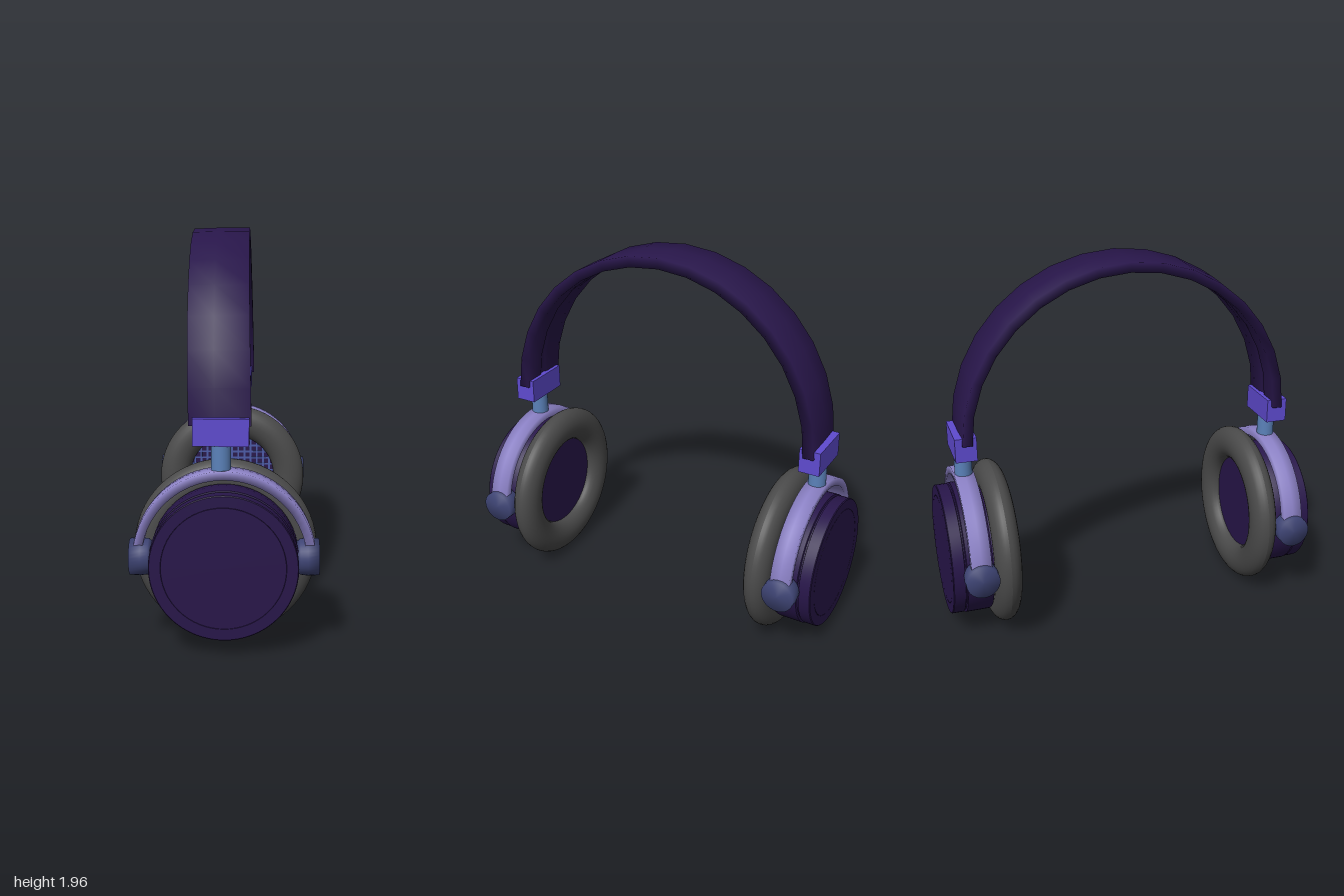
import * as THREE from 'three';
import { toCreasedNormals } from 'three/addons/utils/BufferGeometryUtils.js';

const material = (color) => new THREE.MeshStandardMaterial({ color });
const shell = material(0x28164a);
const foam = material(0x4a4a4a);
const lavender = material(0x8a80c4);
const violet = material(0x5f4bd0);
const steel = material(0x5b82ba);
const slate = material(0x3e4474);
const meshBlue = material(0x4c5ca8);

function add(parent, name, geometry, mat, x = 0, y = 0, z = 0) {
  const mesh = new THREE.Mesh(geometry, mat);
  mesh.name = name;
  mesh.position.set(x, y, z);
  parent.add(mesh);
  return mesh;
}

// Lathe about the z axis; profile pairs are [radius, z], running towards +z on the outside
function turned(profile, segments = 64, start = 0, sweep = Math.PI * 2) {
  const pts = profile.map(([r, z]) => new THREE.Vector2(r, z));
  return new THREE.LatheGeometry(pts, segments, start, sweep).rotateX(Math.PI / 2);
}

const creased = (geometry) => toCreasedNormals(geometry, 0.6);

// Arched strap: a flat section with a shallow groove underneath, swept in a half circle, softly shaded
function headbandGeometry() {
  const section = [ // [across, offset from the mid radius]
    [-0.145, 0.02], [-0.02, 0.025], [0.145, 0.026],
    [0.145, -0.031], [0.03, -0.031], [0.012, -0.02], [-0.012, -0.02], [-0.03, -0.031], [-0.145, -0.031],
  ];
  const n = section.length, steps = 16, pos = [], index = [];
  for (let i = 0; i <= steps; i++) {
    const a = (i / steps) * Math.PI;
    for (const [x, d] of section) {
      const lean = -0.02 - 0.02 * Math.sin(a);
      pos.push(x + lean, 1.07 + (0.86 + d) * Math.sin(a), (0.86 + d) * Math.cos(a));
    }
  }
  for (let i = 0; i < steps; i++) {
    for (let j = 0; j < n; j++) {
      const a = i * n + j, b = i * n + (j + 1) % n;
      index.push(a, b, a + n, b, b + n, a + n);
    }
  }
  const g = new THREE.BufferGeometry();
  g.setAttribute('position', new THREE.Float32BufferAttribute(pos, 3));
  g.setIndex(index);
  g.computeVertexNormals();
  return g;
}

// Fine grid of bars clipped to a circle
function addGrille(parent, radius, y, z) {
  const grille = new THREE.Group();
  grille.name = 'speakerGrille';
  grille.position.set(0, y, z);
  for (let i = -6; i <= 6; i++) {
    const d = i * 0.038;
    const length = 2 * Math.sqrt(radius * radius - d * d);
    add(grille, 'grilleBarUpright', new THREE.BoxGeometry(0.011, length, 0.004), meshBlue, d, 0, 0);
    add(grille, 'grilleBarLevel', new THREE.BoxGeometry(length, 0.011, 0.004), meshBlue, 0, d, 0);
  }
  parent.add(grille);
}

// One ear piece, with its outer face towards +z
function earPiece(name, stemX, hasGrille) {
  const g = new THREE.Group();
  g.name = name;

  // Cup: base, narrow groove and outer cover with a fine ring cut in its face
  add(g, 'cup', creased(turned([
    [0, 0.73], [0.3, 0.73], [0.3, 0.788], [0.345, 0.79], [0.35, 0.8], [0.35, 0.925], [0.338, 0.928], [0.338, 0.934],
    [0.346, 0.937], [0.346, 0.996], [0.342, 1], [0.29, 1], [0.289, 0.997], [0.288, 1], [0, 1],
  ])), shell, 0, 0.427, 0);

  // Cushion: flattened ring around the speaker cover
  const ring = [];
  for (let i = 0; i <= 24; i++) {
    const a = (i / 24) * Math.PI * 2;
    ring.push([0.348 + 0.092 * Math.cos(a), 0.715 + 0.07 * Math.sin(a)]);
  }
  add(g, 'earCushion', turned(ring), foam, 0, 0.44, 0);
  add(g, 'speakerCover', new THREE.CylinderGeometry(0.265, 0.265, 0.03, 48).rotateX(Math.PI / 2),
    shell, 0, 0.44, 0.728);
  if (hasGrille) addGrille(g, 0.258, 0.44, 0.712);

  // Yoke: softly shaded half ring, and a rounded pivot at each end
  const yoke = new THREE.Group();
  yoke.name = 'yokeAssembly';
  yoke.position.set(0, 0.443, 0.862);
  yoke.rotation.z = 0.008;
  add(yoke, 'yoke', turned([
    [0.385, -0.052], [0.427, -0.052], [0.43, 0], [0.427, 0.052], [0.385, 0.052], [0.385, -0.052],
  ], 40, Math.PI / 2, Math.PI), lavender, 0, -0.006, 0);
  for (const side of [-1, 1]) {
    const pivot = turned([[0, 0.335], [0.07, 0.336], [0.084, 0.355], [0.088, 0.39], [0.086, 0.443], [0, 0.447]], 32);
    add(yoke, 'pivot', pivot.rotateY(side * Math.PI / 2), slate);
  }
  g.add(yoke);

  // Slider stem and the clamp holding the band
  add(g, 'sliderStem', new THREE.CylinderGeometry(0.046, 0.046, 0.16, 32), steel, stemX, 0.925, 0.862);
  add(g, 'bandClamp', new THREE.BoxGeometry(0.26, 0.128, 0.112), violet, stemX, 1.045, 0.861);
  return g;
}

export function createModel() {
  const model = new THREE.Group();
  model.name = 'headphones';
  add(model, 'headband', headbandGeometry(), shell);
  model.add(earPiece('frontEarPiece', -0.015, false));
  const back = earPiece('backEarPiece', 0.012, true);
  back.rotation.y = Math.PI;
  back.position.x = -0.008;
  model.add(back);
  return model;
}
